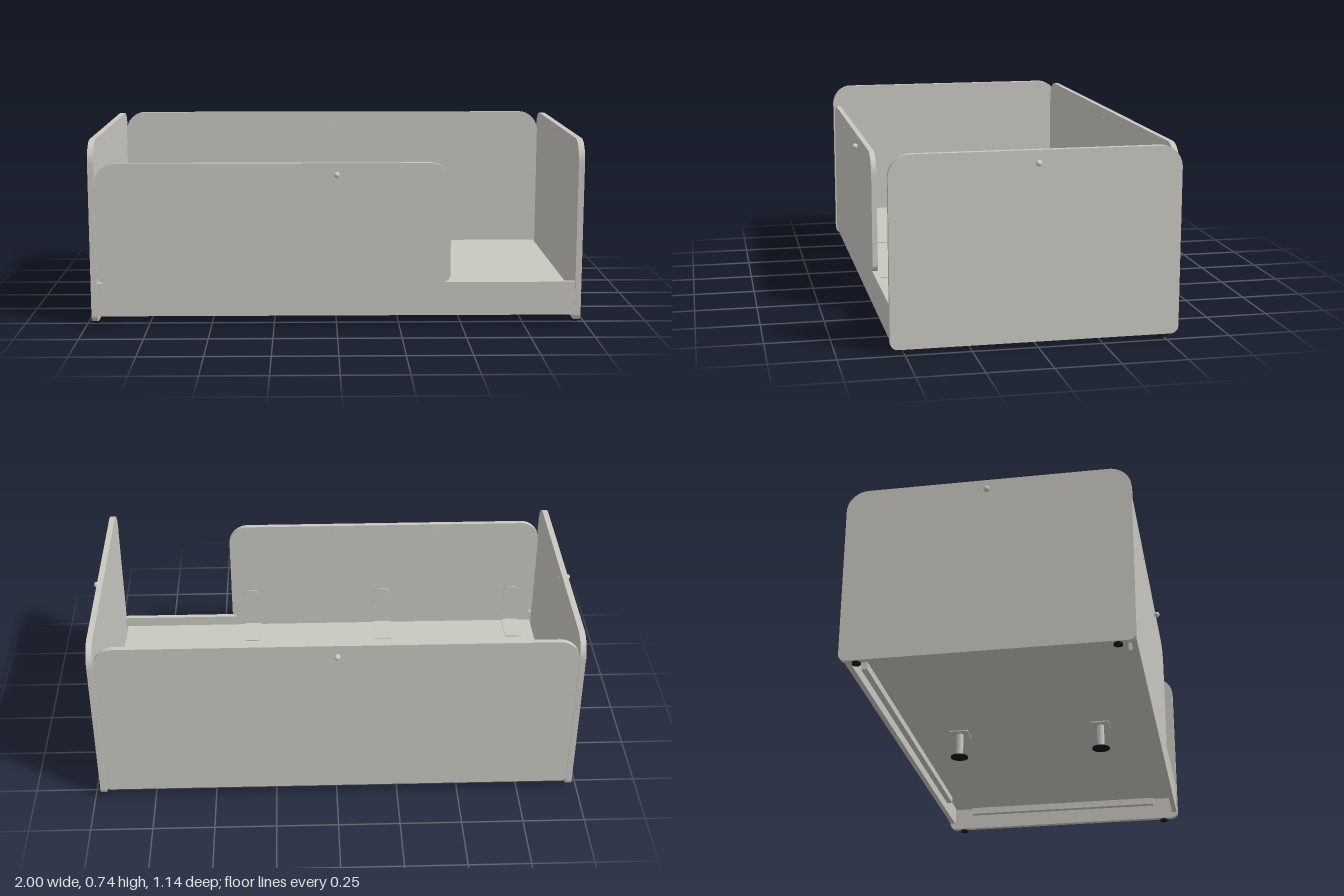
import * as THREE from 'three';

const panelGrey = new THREE.MeshStandardMaterial({ color: 0xc8c7c0 });
panelGrey.name = 'panel grey';
const metal = new THREE.MeshStandardMaterial({ color: 0xcccccc });
metal.name = 'metal';
const black = new THREE.MeshStandardMaterial({ color: 0x161616 });
black.name = 'black rubber';

// Upright board centred on x and z, standing on y = 0, with its own top and bottom corner radii
function board(w, h, depth, rTop, rBottom) {
  const s = new THREE.Shape();
  const x = w / 2;
  s.moveTo(-x + rBottom, 0);
  s.lineTo(x - rBottom, 0);
  if (rBottom) s.absarc(x - rBottom, rBottom, rBottom, -Math.PI / 2, 0);
  s.lineTo(x, h - rTop);
  if (rTop) s.absarc(x - rTop, h - rTop, rTop, 0, Math.PI / 2);
  s.lineTo(-x + rTop, h);
  if (rTop) s.absarc(-x + rTop, h - rTop, rTop, Math.PI / 2, Math.PI);
  s.lineTo(-x, rBottom);
  if (rBottom) s.absarc(-x + rBottom, rBottom, rBottom, Math.PI, Math.PI * 1.5);
  const g = new THREE.ExtrudeGeometry(s, { depth, bevelEnabled: false, curveSegments: 12 });
  return g.translate(0, 0, -depth / 2);
}

export function createModel() {
  const model = new THREE.Group();
  model.name = 'panelBed';

  function add(name, geometry, material, x, y, z) {
    const mesh = new THREE.Mesh(geometry, material);
    mesh.name = name;
    mesh.position.set(x, y, z);
    model.add(mesh);
    return mesh;
  }
  const box = (w, h, d) => new THREE.BoxGeometry(w, h, d);
  const disc = (r, h) => new THREE.CylinderGeometry(r, r, h, 24);

  // Ball knob outside a panel, with its fixing dot on the inside face
  function knob(name, x, y, z, angle, thickness) {
    const g = new THREE.Group();
    g.name = name;
    const ball = new THREE.Mesh(new THREE.SphereGeometry(0.012, 20, 14), metal);
    ball.position.z = 0.0115;
    const dot = new THREE.Mesh(disc(0.004, 0.003).rotateX(Math.PI / 2), metal);
    dot.position.z = -thickness - 0.0005;
    g.add(ball, dot);
    g.position.set(x, y, z);
    g.rotation.y = angle;
    model.add(g);
  }

  // End panels with knobs and feet
  for (const side of [-1, 1]) {
    const end = add('endPanel', board(1.106, 0.727, 0.024, 0.085, 0.03), panelGrey, side * 0.965, 0.015, 0);
    end.rotation.y = Math.PI / 2;
    knob('endKnob', side * 0.977, 0.695, 0, side * Math.PI / 2, 0.024);
    for (const z of [-0.485, 0.485]) {
      add('cornerFoot', disc(0.017, 0.008), black, side * 0.965, 0.006, z);
      add('cornerFootStem', disc(0.008, 0.012), black, side * 0.965, 0.011, z);
    }
  }

  // Back panel, front rail and front guard
  add('backPanel', board(1.906, 0.7, 0.021, 0.085, 0.02), panelGrey, 0, 0.04, -0.5375);
  knob('backKnob', 0, 0.695, -0.548, Math.PI, 0.021);
  add('frontRail', box(1.906, 0.135, 0.021), panelGrey, 0, 0.1075, 0.5375);
  add('frontGuard', board(1.406, 0.48, 0.021, 0.085, 0.03), panelGrey, -0.25, 0.175, 0.5375);
  knob('guardKnob', 0, 0.61, 0.548, 0, 0.021);
  add('guardScrew', disc(0.004, 0.024).rotateX(Math.PI / 2), metal, -0.5, 0.61, 0.5375);

  // Mattress base and the cleats that carry it
  add('mattressBase', box(1.89, 0.025, 1.04), panelGrey, 0, 0.1225, 0);
  for (const side of [-1, 1]) {
    add('longCleat', box(1.52, 0.03, 0.024), panelGrey, 0, 0.095, side * 0.515);
    add('shortCleat', box(0.024, 0.03, 0.88), panelGrey, side * 0.941, 0.095, 0);
  }

  // Angle brackets holding the guard
  for (const x of [-0.85, -0.245, 0.36]) {
    add('bracketTab', board(0.075, 0.185, 0.005, 0.035, 0), panelGrey, x, 0.135, 0.5245);
    add('bracketFoot', box(0.075, 0.004, 0.145), panelGrey, x, 0.137, 0.4525);
  }

  // Centre legs
  for (const z of [-0.303, 0.303]) {
    add('centreLegPlate', box(0.08, 0.005, 0.08), panelGrey, 0, 0.1075, z);
    add('centreLeg', disc(0.015, 0.1), metal, 0, 0.055, z);
    add('centreLegFoot', disc(0.037, 0.005), black, 0, 0.0025, z);
  }
  return model;
}
